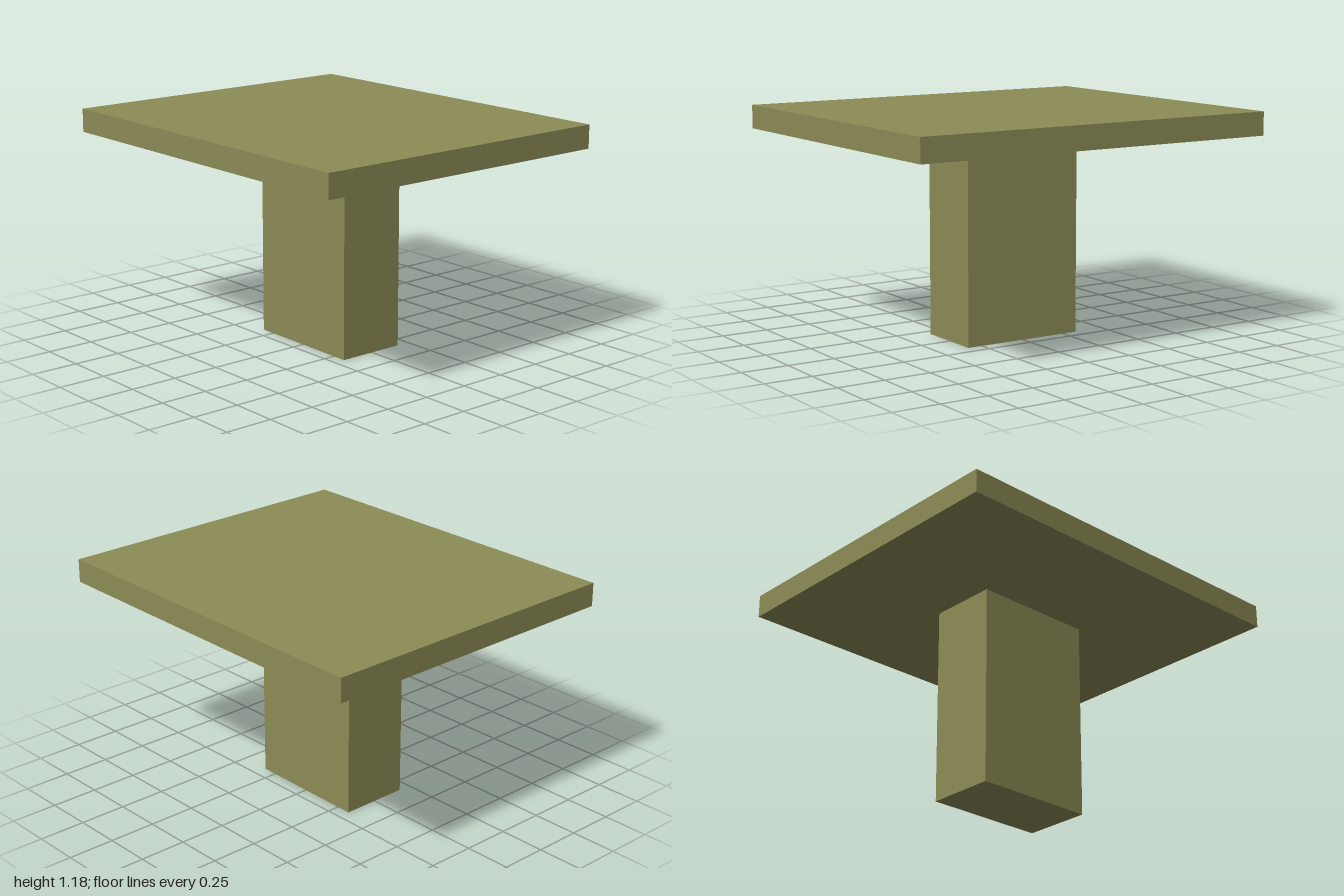
import * as THREE from 'three';

// Horizontal skew: x drifts slightly as z runs from front to back
const SKEW = -0.0095;

function skewedBox(name, material, width, height, depth, x, y) {
  const geometry = new THREE.BoxGeometry(width, height, depth);
  geometry.applyMatrix4(new THREE.Matrix4().set(
    1, 0, SKEW, x,
    0, 1, 0, y + height / 2,
    0, 0, 1, 0,
    0, 0, 0, 1,
  ));
  geometry.computeVertexNormals();
  const mesh = new THREE.Mesh(geometry, material);
  mesh.name = name;
  return mesh;
}

export function createModel() {
  const olive = new THREE.MeshStandardMaterial({ color: 0x8c8c57 });
  olive.name = 'olive';

  const table = new THREE.Group();
  table.name = 'pedestalTable';

  // Solid rectangular pedestal and the flat slab resting on it
  table.add(skewedBox('pedestal', olive, 0.368, 1.057, 0.66, -0.002, 0));
  table.add(skewedBox('tabletop', olive, 1.703, 0.123, 2, 0, 1.057));
  return table;
}
